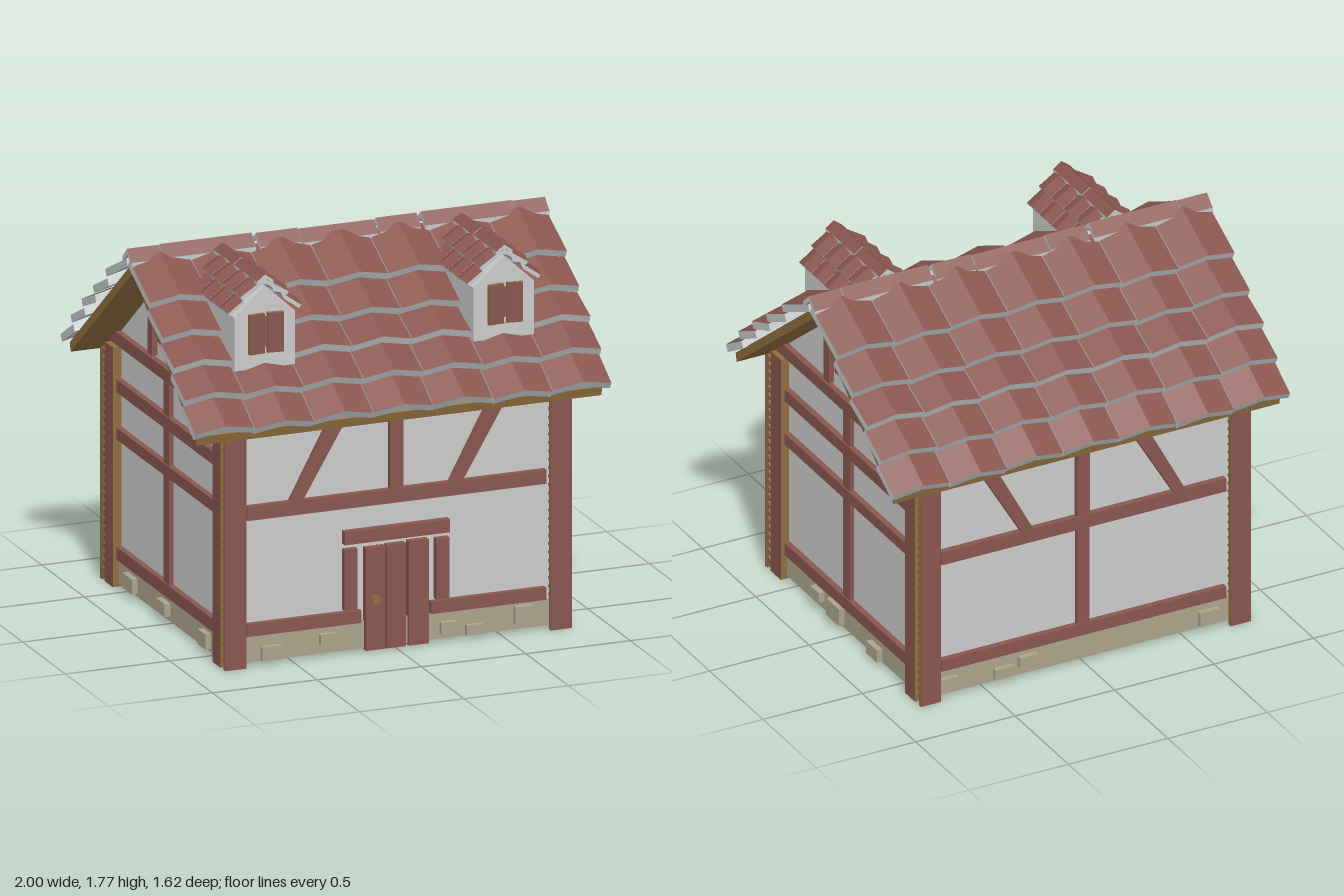
import * as THREE from 'three';

const mat = (name, color, side = THREE.FrontSide) =>
  Object.assign(new THREE.MeshStandardMaterial({ color, side }), { name });
const plaster = mat('plaster', 0xcccccc);
const timber = mat('timber red', 0x89564f);
const rawWood = mat('raw wood', 0x8f6e3e);
const stone = mat('stone', 0xaca58c);
const tileEdge = mat('tile edge', 0xc4cacb);

function add(parent, name, geometry, material) {
  const m = new THREE.Mesh(geometry, material);
  m.name = name;
  parent.add(m);
  return m;
}
function group(parent, name, x = 0, y = 0, z = 0, turn = 0) {
  const g = new THREE.Group();
  g.name = name;
  g.position.set(x, y, z);
  g.rotation.y = turn;
  parent.add(g);
  return g;
}
function box(parent, name, material, x0, x1, y0, y1, z0, z1) {
  const g = new THREE.BoxGeometry(x1 - x0, y1 - y0, z1 - z0);
  g.translate((x0 + x1) / 2, (y0 + y1) / 2, (z0 + z1) / 2);
  return add(parent, name, g, material);
}
function prism(points, depth) {
  const shape = new THREE.Shape(points.map(p => new THREE.Vector2(p[0], p[1])));
  return new THREE.ExtrudeGeometry(shape, { depth, bevelEnabled: false });
}
// Extrudes a [z, y] outline along x from x0 to x1
function prismX(points, x0, x1) {
  return prism(points.map(p => [-p[0], p[1]]), x1 - x0).rotateY(Math.PI / 2).translate(x0, 0, 0);
}

// Folded tile: red on top, grey on its edges and underside; runs along +z
function tileGeometry(width, length, rise, thick) {
  const w = width / 2;
  const g = prism([[-w, -rise], [0, 0], [w, -rise], [w, -rise - thick], [0, -thick], [-w, -rise - thick]], length);
  const n = g.attributes.normal;
  g.clearGroups();
  for (let i = 0; i < n.count; i += 3) g.addGroup(i, 3, n.getY(i) > 0.2 ? 0 : 1);
  return g;
}
const tileMats = [timber, tileEdge];

// One roof slope facing +z; rows are [z, y] of each row's lower lip, ending at the ridge
function tileSlope(parent, name, rows, columns, width, rise, thick, sink, jut) {
  const slope = group(parent, name);
  for (let r = 0; r < rows.length - 1; r++) {
    const last = r === rows.length - 2;
    const low = new THREE.Vector3(0, rows[r][1], rows[r][0]);
    const high = new THREE.Vector3(0, rows[r + 1][1] - (last ? 0 : sink * 0.78), rows[r + 1][0] - (last ? 0 : sink * 0.62));
    const z = low.clone().sub(high);
    const g = tileGeometry(width, z.length(), rise, thick);
    z.normalize();
    const x = new THREE.Vector3(1, 0, 0);
    const basis = new THREE.Matrix4().makeBasis(x, z.clone().cross(x), z);
    columns.forEach((c, i) => {
      const t = add(slope, 'roofTile', g, tileMats);
      t.quaternion.setFromRotationMatrix(basis);
      t.position.copy(high).addScaledVector(z, jut && i % 4 === 1 ? jut : 0);
      t.position.x = c;
    });
  }
  return slope;
}

// Timbers on a long wall; m mirrors the bracing
function longWall(wall, m) {
  box(wall, 'middleBeam', timber, -0.715, 0.715, 0.68, 0.745, -0.01, 0.03);
  box(wall, 'upperStud', timber, -0.032, 0.032, 0.745, 1.1, -0.01, 0.025);
  for (const [bottom, top] of [[-0.48, -0.29], [0.285, 0.475]]) {
    const g = prism([[bottom - 0.03, 0.745], [bottom + 0.03, 0.745], [top + 0.05, 1.1], [top - 0.03, 1.1]].map(p => [p[0] * m, p[1]]), 0.03);
    add(wall, 'brace', g, timber);
  }
}
function gableWall(wall) {
  for (const [y0, y1, w] of [[0.13, 0.19, 0.57], [0.69, 0.745, 0.57], [0.91, 0.97, 0.57], [1.13, 1.19, 0.64]])
    box(wall, 'gableBeam', timber, -w, w, y0, y1, -0.01, 0.028);
  box(wall, 'gableStud', timber, -0.031, 0.031, 0.19, 1.13, -0.01, 0.022);
  for (const s of [-1, 1]) {
    box(wall, 'gablePost', timber, s * 0.186 - 0.026, s * 0.186 + 0.026, 1.2, 1.51, -0.01, 0.025);
    box(wall, 'windowSide', timber, s * 0.093 - 0.015, s * 0.093 + 0.015, 1.31, 1.43, -0.01, 0.02);
  }
  box(wall, 'windowHead', timber, -0.105, 0.105, 1.425, 1.452, -0.01, 0.025);
  box(wall, 'windowSill', timber, -0.105, 0.105, 1.285, 1.312, -0.01, 0.025);
  box(wall, 'windowMullion', timber, -0.013, 0.013, 1.31, 1.43, -0.01, 0.015);
  box(wall, 'windowBar', timber, -0.08, 0.08, 1.36, 1.382, -0.01, 0.015);
}
// Loose foundation stones: [centre, low, high, width]
function stones(wall, list) {
  for (const [c, y0, y1, w] of list)
    box(wall, 'foundationStone', stone, c - w / 2, c + w / 2, y0, y1, 0, 0.038);
}

function dormer(parent, cx) {
  const d = group(parent, 'dormer', cx);
  add(d, 'dormerWalls', prism([[-0.145, 1.33], [0.145, 1.33], [0.145, 1.58], [0, 1.715], [-0.145, 1.58]], 0.47).translate(0, 0, 0.09), plaster);
  // Shutters, with raw wood showing on their edges
  const edges = [rawWood, rawWood, rawWood, rawWood, timber, rawWood];
  for (const s of [-1, 1]) {
    const shutter = group(d, 'shutter', s * 0.045, 0, 0.575, -s * 0.12);
    box(shutter, 'shutterBoard', edges, -0.037, 0.037, 1.405, 1.59, -0.01, 0.01);
  }
  box(d, 'windowPost', timber, -0.01, 0.01, 1.43, 1.57, 0.55, 0.566);
  const rows = [[0.185, 1.615], [0.125, 1.685], [0.02, 1.752]];
  for (const s of [-1, 1]) {
    const side = group(d, 'dormerRoofSide', 0, 0, 0.33, s * Math.PI / 2);
    tileSlope(side, 'dormerTiles', rows, [-0.1725, -0.0575, 0.0575, 0.1725], 0.113, 0.016, 0.018, 0.022, 0);
  }
  for (const [z, len] of [[0.06, 0.23], [0.295, 0.27]])
    add(d, 'dormerRidge', tileGeometry(0.08, len, 0.03, 0.016), tileMats).position.set(0, 1.766, z);
}

export function createModel() {
  const house = new THREE.Group();
  house.name = 'timberHouse';

  // Body and base
  add(house, 'walls', prismX([[-0.685, 0.1], [0.685, 0.1], [0.685, 1.115], [0, 1.66], [-0.685, 1.115]], -0.79, 0.79), plaster);
  box(house, 'foundation', stone, -0.8, 0.8, 0.015, 0.14, -0.698, 0.698);

  // Walls
  const front = group(house, 'frontWall', 0, 0, 0.685, 0);
  const back = group(house, 'backWall', 0, 0, -0.685, Math.PI);
  const right = group(house, 'gableWallA', 0.79, 0, 0, Math.PI / 2);
  const left = group(house, 'gableWallB', -0.79, 0, 0, -Math.PI / 2);
  longWall(front, 1);
  longWall(back, -1);
  gableWall(right);
  gableWall(left);
  box(front, 'lowerBeam', timber, -0.715, -0.17, 0.14, 0.197, -0.01, 0.03);
  box(front, 'lowerBeam', timber, 0.165, 0.715, 0.14, 0.197, -0.01, 0.03);
  box(back, 'lowerBeam', timber, -0.715, 0.715, 0.14, 0.197, -0.01, 0.03);
  box(back, 'lowerStud', timber, -0.03, 0.03, 0.197, 0.68, -0.01, 0.025);
  stones(front, [[-0.6, 0.02, 0.085, 0.095], [-0.33, 0.06, 0.11, 0.075], [0.25, 0.04, 0.095, 0.08], [0.37, 0.02, 0.068, 0.075], [0.605, 0.045, 0.125, 0.08]]);
  stones(back, [[-0.68, 0.04, 0.1, 0.09], [-0.4, 0.03, 0.08, 0.1], [-0.28, 0.06, 0.11, 0.09], [0.63, 0.03, 0.1, 0.1]]);
  stones(right, [[-0.27, 0.055, 0.105, 0.08], [-0.1, 0.03, 0.115, 0.12], [0.265, 0.02, 0.082, 0.1]]);
  stones(left, [[-0.42, 0.03, 0.1, 0.11], [-0.03, 0.04, 0.1, 0.1], [0.45, 0.03, 0.1, 0.09]]);

  // Door
  const door = group(front, 'door');
  for (const [x0, x1, top] of [[-0.15, -0.056, 0.485], [-0.05, 0.042, 0.488], [0.056, 0.15, 0.493]])
    box(door, 'doorPlank', timber, x0, x1, 0.008, top, 0, 0.035);
  box(door, 'doorLintel', timber, -0.252, 0.252, 0.512, 0.573, -0.01, 0.035);
  for (const s of [-1, 1])
    box(door, 'doorJamb', timber, s * 0.22 - 0.032, s * 0.22 + 0.032, 0.205, 0.488, -0.01, 0.03);
  add(door, 'doorKnob', new THREE.CylinderGeometry(0.022, 0.022, 0.02, 8).rotateX(Math.PI / 2).translate(-0.107, 0.245, 0.042), rawWood);

  // Corner posts: two planks each, with a notched raw strip between
  for (const sx of [-1, 1]) for (const sz of [-1, 1]) {
    const corner = group(house, 'cornerPost');
    const x = sx * 0.779, z = sz * 0.722;
    const faces = [rawWood, rawWood, rawWood, rawWood, timber, timber];
    box(corner, 'longWallPlank', faces, x - 0.051, x + 0.051, 0, 1.1, z - 0.01, z + 0.01);
    box(corner, 'gablePlank', [timber, timber, rawWood, rawWood, rawWood, rawWood],
      sx * 0.808 - 0.022, sx * 0.808 + 0.022, 0, 1.115, sz * 0.63 - 0.048, sz * 0.63 + 0.048);
    const teeth = [[sz * 0.718, 1.08], [sz * 0.718, 0.02]];
    for (let i = 0; i <= 54; i++) teeth.push([sz * (i % 2 ? 0.686 : 0.712), 0.02 + i * 1.06 / 54]);
    add(corner, 'notchedStrip', prismX(teeth, x - 0.045, x + 0.045), rawWood);
  }

  // Roof boards
  add(house, 'roofBoards', prismX([[0, 1.705], [0.745, 1.11], [0.735, 1.068], [0, 1.655], [-0.735, 1.068], [-0.745, 1.11]], -0.97, 0.97), rawWood);

  // Main tiles
  const rows = [[0.805, 1.165], [0.685, 1.29], [0.555, 1.405], [0.425, 1.505], [0.28, 1.625], [0.03, 1.748]];
  const columns = [-3, -2, -1, 0, 1, 2, 3].map(i => i * 0.2855);
  for (const turn of [0, Math.PI])
    tileSlope(group(house, 'roofSide', 0, 0, 0, turn), 'mainTiles', rows, columns, 0.28, 0.032, 0.035, 0.045, 0.008);

  // Ridge caps
  [[-1, -0.85, 0], [-0.845, -0.405, 0.003], [-0.385, -0.185, -0.001], [-0.18, 0.18, -0.006], [0.19, 0.385, 0], [0.405, 0.84, 0.003], [0.845, 1, -0.001]]
    .forEach(([x0, x1, dy]) => {
      const cap = add(house, 'ridgeCap', tileGeometry(0.11, x1 - x0, 0.05, 0.026), tileMats);
      cap.rotation.y = Math.PI / 2;
      cap.position.set(x0, 1.77 + dy, 0);
    });

  dormer(house, -0.57);
  dormer(house, 0.575);
  return house;
}
